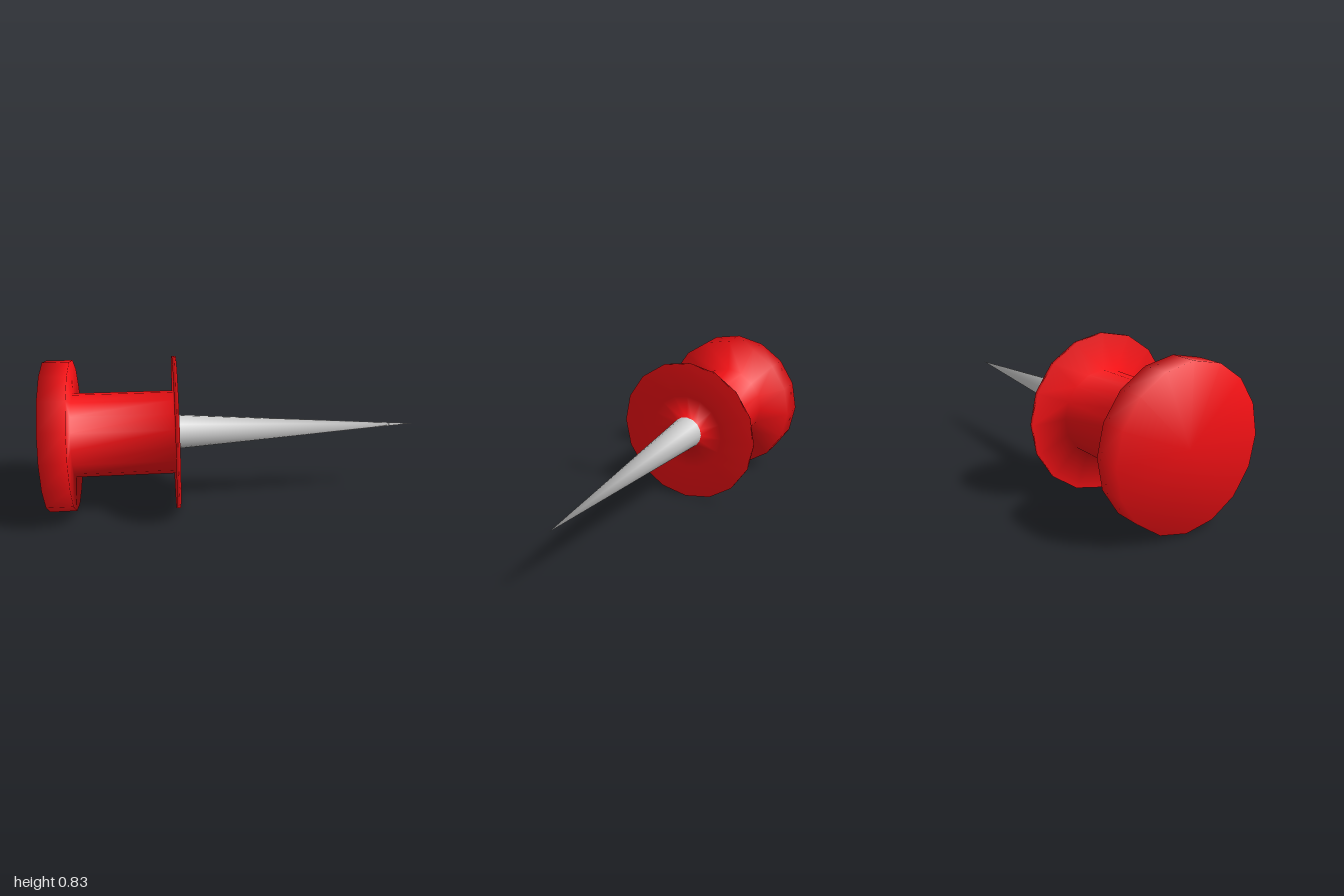
import * as THREE from 'three';
import { mergeVertices } from 'three/addons/utils/BufferGeometryUtils.js';

const SIDES = 16;
const CENTER_Y = 0.413;

// Outline as [radius, position along x], from the back of the head to the point
const PROFILE = [
  [0, -1], [0.405, -1], [0.405, -0.86], [0.225, -0.86],
  [0.225, -0.33], [0.413, -0.33], [0.413, -0.308], [0.22, -0.308],
  [0.092, -0.308], [0, 1],
];
const PIN_BAND = PROFILE.length - 2;

export function createModel() {
  const group = new THREE.Group();
  group.name = 'pushPin';
  const red = new THREE.MeshStandardMaterial({ color: 0xf01014 });
  const grey = new THREE.MeshStandardMaterial({ color: 0xcccccc });

  // One smooth turned body, so the shading flows across all of its edges
  let body = new THREE.LatheGeometry(PROFILE.map(([r, x]) => new THREE.Vector2(r, x)), SIDES);
  body.rotateZ(-Math.PI / 2);
  body.translate(0, CENTER_Y, 0);
  body.deleteAttribute('uv');
  body.deleteAttribute('normal');
  body = mergeVertices(body);
  body.computeVertexNormals();

  // Sort the faces into parts; each lathe cell holds two triangles
  const parts = { head: [], needle: [], needleRedFacet: [] };
  const index = body.index.array;
  const bands = PROFILE.length - 1;
  for (let side = 0; side < SIDES; side++) {
    for (let band = 0; band < bands; band++) {
      const start = (side * bands + band) * 6;
      const facet = side === 3 ? 'needleRedFacet' : 'needle';
      parts[band === PIN_BAND ? facet : 'head'].push(...index.slice(start, start + 6));
    }
  }

  for (const [name, faces] of Object.entries(parts)) {
    const geometry = body.clone();
    geometry.setIndex(faces);
    const mesh = new THREE.Mesh(geometry, name === 'needle' ? grey : red);
    mesh.name = name;
    group.add(mesh);
  }
  return group;
}
